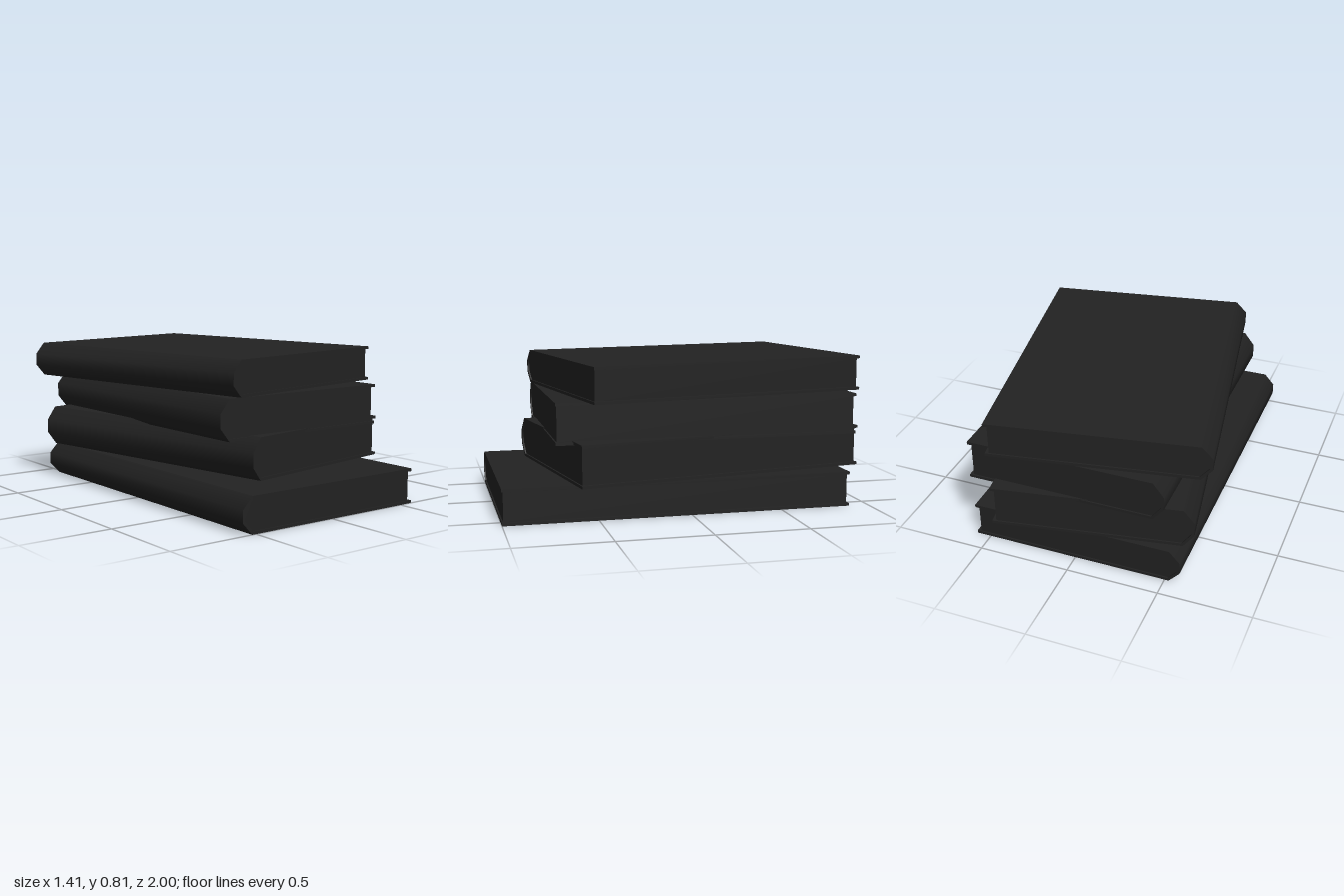
import * as THREE from 'three';
import { toCreasedNormals } from 'three/addons/utils/BufferGeometryUtils.js';

const BOARD = 0.015;   // cover thickness
const BEND = 0.058;    // depth of the faceted spine

// width, height, length, centre x, bottom y, centre z, turn about y
const BOOKS = [
  { name: 'bottomBook', w: 1.16, h: 0.19, l: 1.89, x: 0, y: 0, z: 0.055, turn: 0 },
  { name: 'secondBook', w: 1.065, h: 0.223, l: 1.634, x: 0.035, y: 0.196, z: -0.105, turn: 0.174 },
  { name: 'thirdBook', w: 1.073, h: 0.219, l: 1.64, x: 0.037, y: 0.4, z: -0.1, turn: 0 },
  { name: 'topBook', w: 1.152, h: 0.19, l: 1.565, x: -0.003, y: 0.62, z: -0.13, turn: 0.175 },
];

// Left-side outline from top to bottom, moved inwards by t
function spineOutline(w, h, t) {
  const x = -w / 2;
  return [
    [x + BEND + t * 0.4, h - t], [x + t, h * 0.67 - t * 0.4],
    [x + t, h * 0.33 + t * 0.4], [x + BEND + t * 0.4, t],
  ].map(([px, py]) => new THREE.Vector2(px, py));
}

function extrudeAlongZ(points, length) {
  const geo = new THREE.ExtrudeGeometry(new THREE.Shape(points), { depth: length, bevelEnabled: false });
  return geo.translate(0, 0, -length / 2);
}

function makeBook({ name, w, h, l, x, y, z, turn }, material) {
  const book = new THREE.Group();
  book.name = name;
  const add = (part, geo) => {
    const mesh = new THREE.Mesh(geo, material);
    mesh.name = part;
    book.add(mesh);
    return mesh;
  };

  // Flat boards, hinged at the spine
  const boardWidth = w - BEND;
  for (const [part, by] of [['lowerCover', BOARD / 2], ['upperCover', h - BOARD / 2]]) {
    add(part, new THREE.BoxGeometry(boardWidth, BOARD, l)).position.set(BEND / 2, by, 0);
  }

  // Three-facet spine shell, softly shaded across its facets
  const shell = [...spineOutline(w, h, 0), ...spineOutline(w, h, BOARD).reverse()];
  add('spine', toCreasedNormals(extrudeAlongZ(shell, l), 0.9));

  // Page block, slightly inset from the covers
  const right = w / 2 - 0.02;
  const pages = [...spineOutline(w, h, BOARD), new THREE.Vector2(right, BOARD), new THREE.Vector2(right, h - BOARD)];
  add('pages', extrudeAlongZ(pages, l - 0.016));

  book.position.set(x, y, z);
  book.rotation.y = turn;
  return book;
}

export function createModel() {
  const model = new THREE.Group();
  model.name = 'bookStack';
  const charcoal = new THREE.MeshStandardMaterial({ color: 0x222222 });
  charcoal.name = 'charcoal';
  for (const spec of BOOKS) model.add(makeBook(spec, charcoal));
  return model;
}
